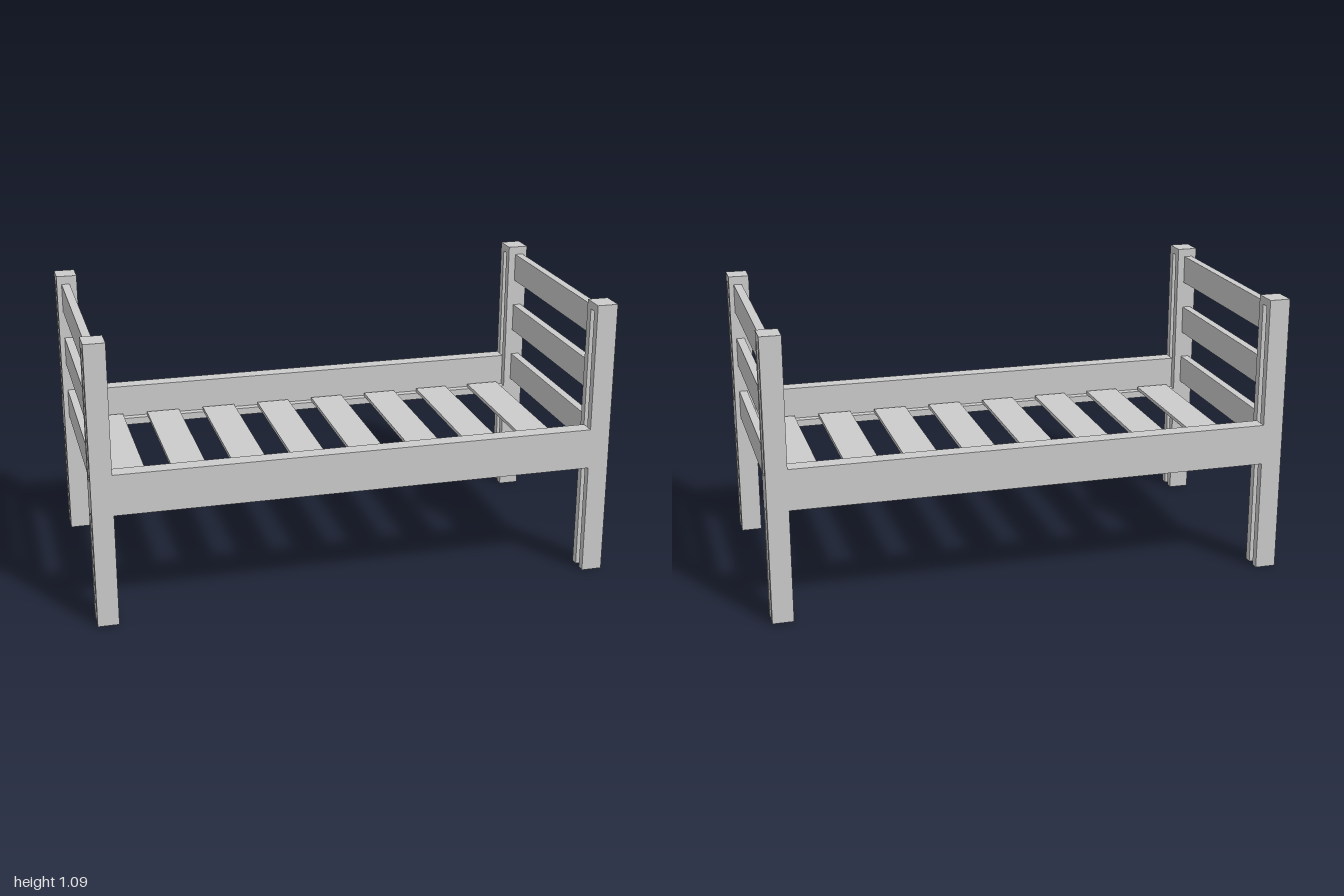
import * as THREE from 'three';

const material = new THREE.MeshStandardMaterial({ color: 0xcccccc, flatShading: true });

// Box given by its limits on each axis
function board(name, [x0, x1], [y0, y1], [z0, z1]) {
  const mesh = new THREE.Mesh(new THREE.BoxGeometry(x1 - x0, y1 - y0, z1 - z0), material);
  mesh.position.set((x0 + x1) / 2, (y0 + y1) / 2, (z0 + z1) / 2);
  mesh.name = name;
  return mesh;
}

// Two-plank post: an open slot below, a closed slot above, a solid block at rail height
function postGeometry() {
  const w = 0.0475, s = 0.0155, h = 1.09, depth = 0.08;
  const shape = new THREE.Shape([
    [-w, 0], [-s, 0], [-s, 0.435], [s, 0.435], [s, 0], [w, 0], [w, h], [-w, h],
  ].map(([x, y]) => new THREE.Vector2(x, y)));
  shape.holes.push(new THREE.Path([
    [-s, 0.563], [-s, 1.06], [s, 1.06], [s, 0.563],
  ].map(([x, y]) => new THREE.Vector2(x, y))));
  const geometry = new THREE.ExtrudeGeometry(shape, { depth, bevelEnabled: false });
  geometry.translate(0, 0, -depth / 2);
  geometry.rotateY(-Math.PI / 2);
  return geometry;
}

export function createModel() {
  const bed = new THREE.Group();
  bed.name = 'bed';

  // Corner posts
  const postGeo = postGeometry();
  for (const sx of [-1, 1]) {
    for (const sz of [-1, 1]) {
      const post = new THREE.Mesh(postGeo, material);
      post.position.set(sx * 0.96, 0, sz * 0.4645);
      post.name = `${sz > 0 ? 'front' : 'back'}${sx > 0 ? 'Left' : 'Right'}Post`;
      bed.add(post);
    }
  }

  // Side rails, each with a ledge that carries the slats
  for (const sz of [-1, 1]) {
    const side = sz > 0 ? 'front' : 'back';
    const span = (a, b) => (sz > 0 ? [a, b] : [-b, -a]);
    bed.add(board(`${side}Rail`, [-0.92, 0.92], [0.437, 0.595], span(0.449, 0.512)));
    bed.add(board(`${side}Ledge`, [-0.92, 0.92], [0.437, 0.465], span(0.418, 0.449)));
  }

  // Three cross boards at each end
  for (const sx of [-1, 1]) {
    const end = new THREE.Group();
    end.name = sx > 0 ? 'leftEndBoards' : 'rightEndBoards';
    for (const y of [0.497, 0.72, 0.943]) {
      end.add(board('endBoard', [sx * 0.965 - 0.016, sx * 0.965 + 0.016], [y, y + 0.114], [-0.418, 0.418]));
    }
    bed.add(end);
  }

  // Mattress slats
  const slats = new THREE.Group();
  slats.name = 'slats';
  for (let i = 0; i < 8; i++) {
    const x = -0.825 + i * 0.2357;
    slats.add(board('slat', [x - 0.067, x + 0.067], [0.465, 0.479], [-0.44, 0.44]));
  }
  bed.add(slats);

  return bed;
}
